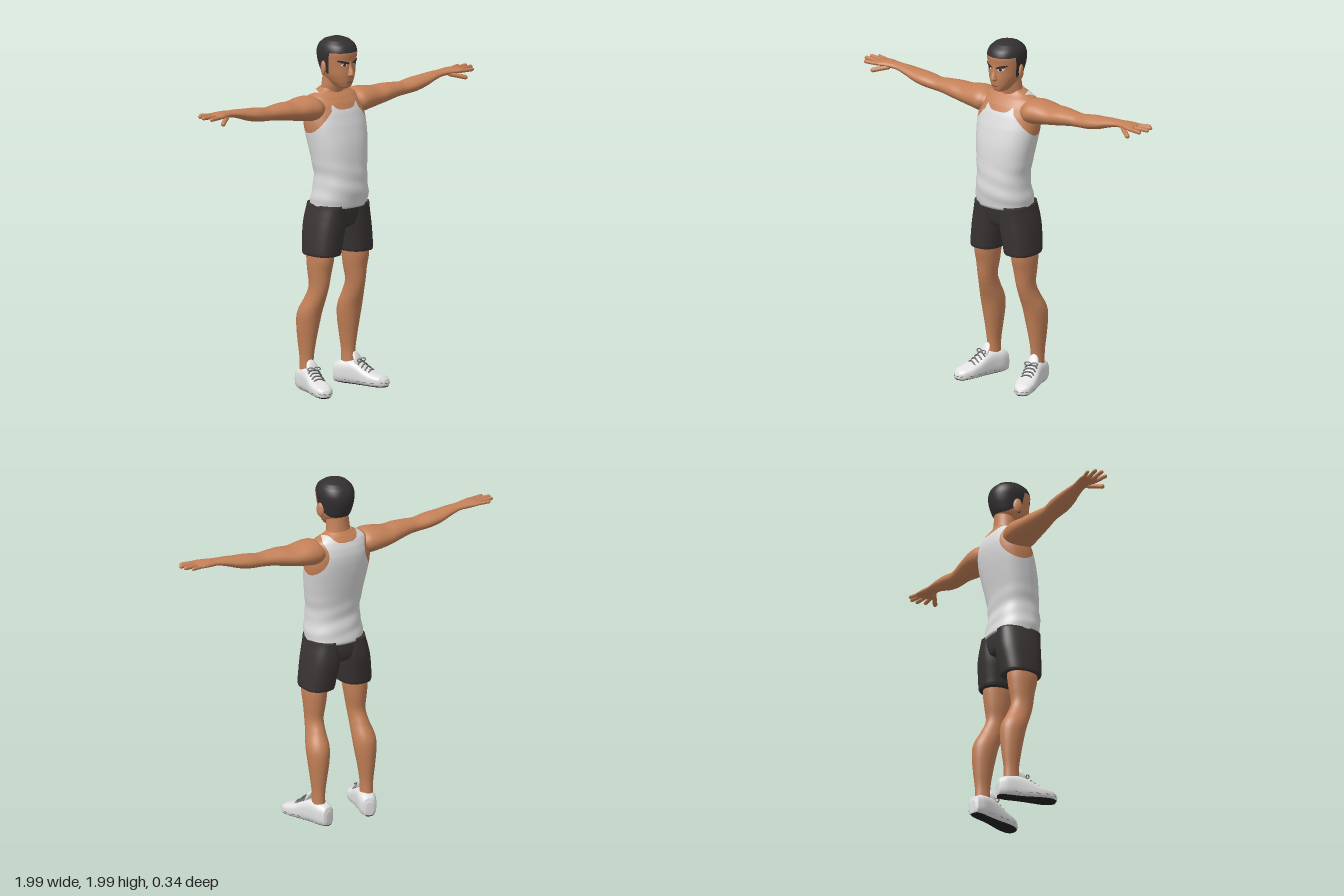
import * as THREE from 'three';

const mat = (name, color, side = THREE.FrontSide) => {
  const m = new THREE.MeshStandardMaterial({ color, side });
  m.name = name;
  return m;
};

// Smooth skin through elliptical sections stacked along an axis (0 x, 1 y, 2 z).
// Row: [t, aMin, aMax, bMin, bMax], where a and b are the next two axes in cyclic order.
function loft(rows, axis, { n = 40, sub = 6, power = 2, bump } = {}) {
  const rings = [];
  const at = i => rows[Math.max(0, Math.min(rows.length - 1, i))];
  for (let i = 0; i < rows.length - 1; i++) {
    for (let s = 0; s < sub; s++) {
      const t = s / sub;
      rings.push(rows[i].map((p1, k) => {
        const p0 = at(i - 1)[k], p2 = at(i + 1)[k], p3 = at(i + 2)[k];
        if (k === 0) return p1 + (p2 - p1) * t;
        return 0.5 * (2 * p1 + (p2 - p0) * t + (2 * p0 - 5 * p1 + 4 * p2 - p3) * t * t
          + (3 * p1 - p0 - 3 * p2 + p3) * t * t * t);
      }));
    }
  }
  rings.push(rows[rows.length - 1]);
  const pos = [], idx = [];
  const push = (t, a, b) => {
    const p = [0, 0, 0];
    p[axis] = t; p[(axis + 1) % 3] = a; p[(axis + 2) % 3] = b;
    pos.push(...p);
  };
  const bend = v => Math.sign(v) * Math.abs(v) ** (2 / power);
  for (const [t, a0, a1, b0, b1] of rings) {
    for (let i = 0; i < n; i++) {
      const w = i / n * Math.PI * 2, c = bend(Math.cos(w)), s = bend(Math.sin(w));
      const k = bump ? bump(t, w) : 1;
      push(t, (a0 + a1) / 2 + (a1 - a0) / 2 * c * k, (b0 + b1) / 2 + (b1 - b0) / 2 * s * k);
    }
  }
  const last = rings.length - 1, c0 = rings.length * n;
  for (const r of [rings[0], rings[last]]) push(r[0], (r[1] + r[2]) / 2, (r[3] + r[4]) / 2);
  for (let i = 0; i < n; i++) {
    const j = (i + 1) % n;
    for (let r = 0; r < last; r++) {
      const a = r * n + i, b = r * n + j;
      idx.push(a, b, b + n, a, b + n, a + n);
    }
    idx.push(c0, j, i, c0 + 1, last * n + i, last * n + j);
  }
  const g = new THREE.BufferGeometry();
  g.setAttribute('position', new THREE.Float32BufferAttribute(pos, 3));
  g.setIndex(idx);
  g.computeVertexNormals();
  return g;
}

// Keeps the part of a surface where f(x, y, z) > 0, cut cleanly and lifted by an offset.
function clip(geo, f, lift = 0) {
  const src = geo.index ? geo.toNonIndexed() : geo;
  const P = src.attributes.position, N = src.attributes.normal, pos = [], nor = [];
  for (let t = 0; t < P.count; t += 3) {
    const tri = [0, 1, 2].map(k => {
      const p = new THREE.Vector3().fromBufferAttribute(P, t + k);
      return { p, n: new THREE.Vector3().fromBufferAttribute(N, t + k), f: f(p.x, p.y, p.z) };
    });
    const poly = [];
    tri.forEach((a, k) => {
      const b = tri[(k + 1) % 3];
      if (a.f > 0) poly.push(a);
      if ((a.f > 0) !== (b.f > 0)) {
        const s = a.f / (a.f - b.f);
        poly.push({ p: a.p.clone().lerp(b.p, s), n: a.n.clone().lerp(b.n, s) });
      }
    });
    for (let k = 1; k + 1 < poly.length; k++) {
      for (const v of [poly[0], poly[k], poly[k + 1]]) {
        pos.push(...v.p.clone().addScaledVector(v.n, lift).toArray());
        nor.push(...v.n.toArray());
      }
    }
  }
  const g = new THREE.BufferGeometry();
  g.setAttribute('position', new THREE.Float32BufferAttribute(pos, 3));
  g.setAttribute('normal', new THREE.Float32BufferAttribute(nor, 3));
  return g;
}

// Reflects a geometry in x, keeping its faces outward.
function mirror(geo) {
  const g = geo.index ? geo.toNonIndexed() : geo.clone();
  for (const a of [g.attributes.position, g.attributes.normal]) {
    for (let i = 0; i < a.count; i += 3) {
      const v = [0, 2, 1].map(k => [-a.getX(i + k), a.getY(i + k), a.getZ(i + k)]);
      v.forEach((q, k) => a.setXYZ(i + k, ...q));
    }
  }
  return g;
}

function capsule(a, b, r) {
  const p = new THREE.Vector3(...a), q = new THREE.Vector3(...b), d = q.clone().sub(p);
  const g = new THREE.CapsuleGeometry(r, d.length() - r, 5, 12);
  g.applyQuaternion(new THREE.Quaternion().setFromUnitVectors(new THREE.Vector3(0, 1, 0), d.normalize()));
  return g.translate(...p.add(q).multiplyScalar(0.5).toArray());
}

export function createModel() {
  const model = new THREE.Group();
  model.name = 'athlete';
  const skin = mat('skin', 0xc48158), cloth = mat('tankTop', 0xdadada, THREE.DoubleSide);
  const dark = mat('shorts', 0x393433), hairMat = mat('hair', 0x343031), shoeMat = mat('shoe', 0xe2e2e2);
  const soleMat = mat('sole', 0x222222), laceMat = mat('lace', 0x6c6c6c);
  const white = mat('eyeWhite', 0xe8e2dc), lip = mat('lip', 0x8f5538);
  const add = (name, geo, m) => {
    const mesh = new THREE.Mesh(geo, m);
    mesh.name = name;
    model.add(mesh);
  };
  const pair = (name, geo, m) => {
    add('left' + name, geo, m);
    add('right' + name, mirror(geo), m);
  };
  const step = THREE.MathUtils.smoothstep;

  // Torso, cut into tank top and bare skin along neckline and armholes
  const torso = loft([
    [1.045, -.138, .135, -.163, .163], [1.12, -.126, .148, -.162, .162], [1.2, -.115, .146, -.15, .15],
    [1.3, -.125, .137, -.162, .162], [1.4, -.145, .125, -.178, .178], [1.5, -.162, .1, -.19, .19],
    [1.57, -.166, .075, -.185, .185], [1.62, -.157, .05, -.172, .172], [1.655, -.142, .022, -.152, .152],
    [1.68, -.125, -.002, -.11, .11], [1.7, -.11, -.005, -.072, .072],
  ], 1, {
    n: 96, power: 2.25,
    bump: (y, w) => 1 + 0.016 * (1 - step(y, 1.2, 1.36)) * step(y, 1.05, 1.1) * Math.sin(y * 62 + Math.sin(w) * 3),
  });
  const shirt = (x, y, z) => {
    const neckline = 1.65 - 0.062 * step(z, -.1, -.02) + 0.09 * (x / .108) ** 4 - y;
    const armhole = Math.abs(x) < .09 ? 1 : Math.hypot((y - 1.57) / .108, (z + .045) / .1) - 1;
    return Math.min(neckline, armhole * .1);
  };
  add('tankTop', clip(torso, shirt), cloth);
  add('upperBody', clip(torso, (x, y, z) => -shirt(x, y, z)), skin);
  add('neck', loft([[1.6, -.12, .0, -.085, .085], [1.66, -.113, 0, -.073, .073],
    [1.72, -.104, .015, -.067, .067], [1.79, -.1, .03, -.062, .062]], 1), skin);

  // Head with close-cropped hair, sideburns and painted face
  const head = loft([
    [1.704, .025, .062, -.016, .016], [1.714, -.015, .083, -.038, .038], [1.745, -.06, .092, -.061, .061],
    [1.785, -.102, .097, -.08, .08], [1.83, -.122, .097, -.09, .09], [1.87, -.131, .1, -.097, .097],
    [1.91, -.13, .103, -.1, .1], [1.945, -.115, .088, -.09, .09], [1.97, -.085, .055, -.066, .066],
    [1.982, -.05, .02, -.035, .035], [1.985, -.02, -.01, -.004, .004],
  ], 1, { n: 96, sub: 8, power: 2.2 });
  const hairline = (x, y, z) => y - 1.785 - .125 * step(z, .005, .03) - .02 * step(z, -.08, -.03) * (1 - step(z, -.03, 0));
  add('hair', clip(head, hairline), hairMat);
  add('face', clip(head, (x, y, z) => -hairline(x, y, z)), skin);
  const oval = (cx, cy, rx, ry, tilt = 0) => (x, y, z) =>
    z < 0 ? -1 : 1 - Math.hypot((x - cx) / rx, (y - cy - tilt * (x - cx)) / ry);
  pair('Eye', clip(head, oval(.04, 1.843, .018, .007, .1), .0015), white);
  pair('Pupil', clip(head, oval(.038, 1.844, .008, .008), .0025), hairMat);
  pair('Eyebrow', clip(head, oval(.042, 1.86, .032, .007, .28), .003), hairMat);
  add('mouth', clip(head, oval(0, 1.742, .026, .0035), .002), lip);
  add('nose', loft([[1.772, .07, .1, -.012, .012], [1.783, .07, .12, -.019, .019], [1.795, .07, .121, -.017, .017],
    [1.83, .07, .107, -.011, .011], [1.865, .07, .1, -.012, .012]], 1, { n: 20 }), skin);
  pair('Ear', new THREE.SphereGeometry(1, 20, 14).scale(.012, .041, .025).rotateY(.35).translate(.097, 1.82, -.018), skin);

  // Arms held straight out, with hands
  pair('Arm', loft([
    [.12, 1.545, 1.65, -.13, .03], [.165, 1.53, 1.668, -.146, .05], [.22, 1.535, 1.669, -.15, .046],
    [.3, 1.548, 1.656, -.14, .036], [.37, 1.56, 1.66, -.12, .03], [.45, 1.574, 1.656, -.1, .02],
    [.5, 1.579, 1.652, -.095, .018], [.58, 1.586, 1.663, -.1, .024], [.65, 1.602, 1.668, -.095, .02],
    [.72, 1.626, 1.675, -.08, .01], [.78, 1.641, 1.678, -.07, .005], [.83, 1.643, 1.682, -.075, .014],
    [.88, 1.648, 1.68, -.08, .03], [.905, 1.655, 1.676, -.074, .024],
  ], 0), skin);
  [
    [[.885, 1.664, -.066], [.953, 1.668, -.08], .0095], [[.89, 1.666, -.04], [.985, 1.67, -.05], .011],
    [[.89, 1.665, -.01], [.992, 1.668, -.013], .011], [[.88, 1.662, .016], [.967, 1.662, .027], .011],
    [[.82, 1.652, -.005], [.9, 1.63, .05], .013],
  ].forEach(([a, b, r], i) => pair(i < 4 ? 'Finger' + (i + 1) : 'Thumb', capsule(a, b, r), skin));

  // Shorts: a hip block and two loose legs
  add('shortsHips', loft([[.915, -.07, .05, -.05, .05], [.94, -.12, .095, -.11, .11], [1, -.133, .113, -.155, .155],
    [1.07, -.128, .122, -.157, .157]], 1, { power: 2.4 }), dark);
  pair('ShortsLeg', loft([
    [.778, -.118, .1, .03, .204], [.79, -.122, .104, .026, .207], [.85, -.13, .108, .015, .202],
    [.92, -.139, .113, .002, .193], [.98, -.139, .116, -.004, .181], [1.06, -.13, .122, 0, .162],
  ], 1, { power: 2.5 }), dark);

  // Legs
  pair('Leg', loft([
    [.06, -.138, -.045, .115, .19], [.18, -.137, -.048, .119, .188], [.28, -.148, -.035, .106, .199],
    [.38, -.155, -.016, .09, .21], [.45, -.146, .002, .084, .211], [.54, -.1, .035, .088, .19],
    [.6, -.077, .052, .085, .184], [.68, -.087, .064, .072, .19], [.75, -.096, .08, .064, .195],
    [.84, -.1, .085, .06, .19],
  ], 1), skin);

  // Trainers, turned outward
  const place = g => g.rotateY(.27).translate(.152, 0, -.09);
  const shoe = loft([
    [-.084, -.022, .022, .012, .085], [-.076, -.038, .038, .003, .112], [-.035, -.05, .05, 0, .13],
    [.03, -.05, .05, 0, .136], [.08, -.052, .053, 0, .122], [.13, -.055, .058, 0, .094],
    [.18, -.056, .06, 0, .076], [.225, -.044, .052, 0, .063], [.248, -.024, .032, .004, .048],
    [.256, -.008, .014, .015, .032],
  ], 2, { n: 48, power: 2.8 });
  pair('Shoe', place(clip(shoe, (x, y) => y - .01)), shoeMat);
  pair('Sole', place(clip(shoe, (x, y) => .01 - y)), soleMat);
  pair('Midsole', place(clip(shoe, (x, y) => Math.min(y - .026, .03 - y), .002)), laceMat);
  pair('Tongue', place(new THREE.SphereGeometry(1, 20, 14).scale(.034, .05, .014).rotateX(-.45).translate(0, .137, .062)), shoeMat);
  for (let i = 0; i < 4; i++) {
    const z = .085 + i * .022, y = .128 - i * .013;
    const path = new THREE.CatmullRomCurve3([[-.036, y - .014, z], [-.018, y + .002, z + .004], [.018, y + .002, z - .004],
      [.036, y - .014, z]].map(p => new THREE.Vector3(...p)));
    pair('Lace' + (i + 1), place(new THREE.TubeGeometry(path, 12, .0045, 6)), laceMat);
  }
  for (const s of [-1, 1]) {
    const bow = new THREE.TorusGeometry(.014, .0035, 6, 16).scale(1.3, .7, 1).rotateX(-.7).translate(s * .02, .138, .086);
    pair(s < 0 ? 'InnerBow' : 'OuterBow', place(bow), laceMat);
  }
  return model;
}
